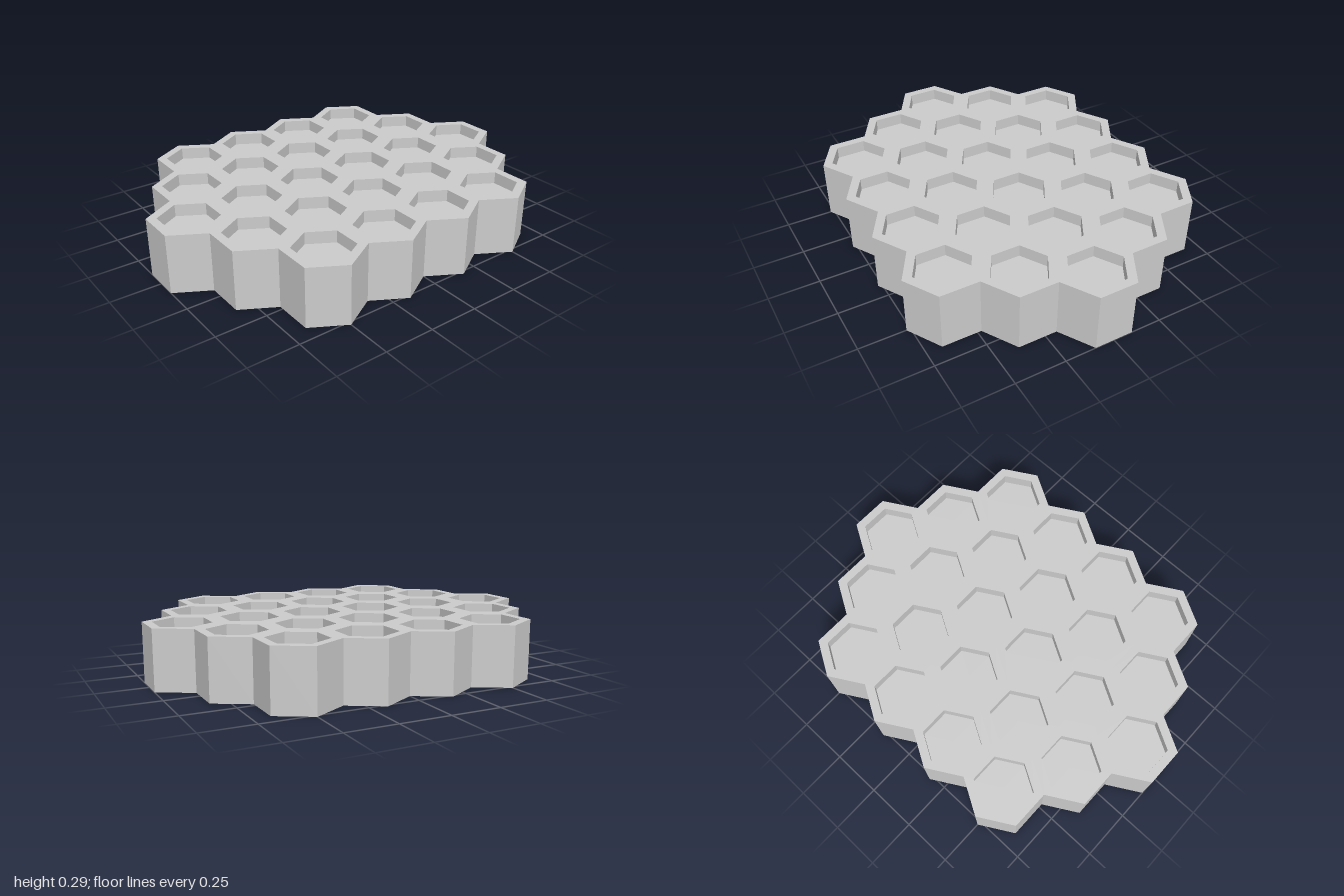
import * as THREE from 'three';

const H = 0.295;               // block height
const PITCH = 1 / 3;           // spacing of cells in a row
const R = PITCH / Math.sqrt(3); // outer corner radius
const POCKET_R = 0.144;        // pocket corner radius
const POCKET_DEPTH = 0.06;

export function createModel() {
  const model = new THREE.Group();
  model.name = 'honeycombTray';
  const material = new THREE.MeshStandardMaterial({ color: 0xcccccc, flatShading: true });

  // Six-sided cell with a shallow pocket: base, wall, rim, pocket wall, pocket floor
  const profile = [
    [0, 0], [R, 0], [R, H], [POCKET_R, H],
    [POCKET_R, H - POCKET_DEPTH], [0, H - POCKET_DEPTH],
  ].map(([x, y]) => new THREE.Vector2(x, y));
  const cellGeometry = new THREE.LatheGeometry(profile, 6);

  // Interlocking rows of 4, 5, 6, 5 and 4 cells
  [4, 5, 6, 5, 4].forEach((count, i) => {
    const row = new THREE.Group();
    row.name = `cellRow${i + 1}`;
    row.position.z = (i - 2) * R * 1.5;
    for (let j = 0; j < count; j++) {
      const cell = new THREE.Mesh(cellGeometry, material);
      cell.name = `hexCell${j + 1}`;
      cell.position.x = (j - (count - 1) / 2) * PITCH;
      row.add(cell);
    }
    model.add(row);
  });
  return model;
}
